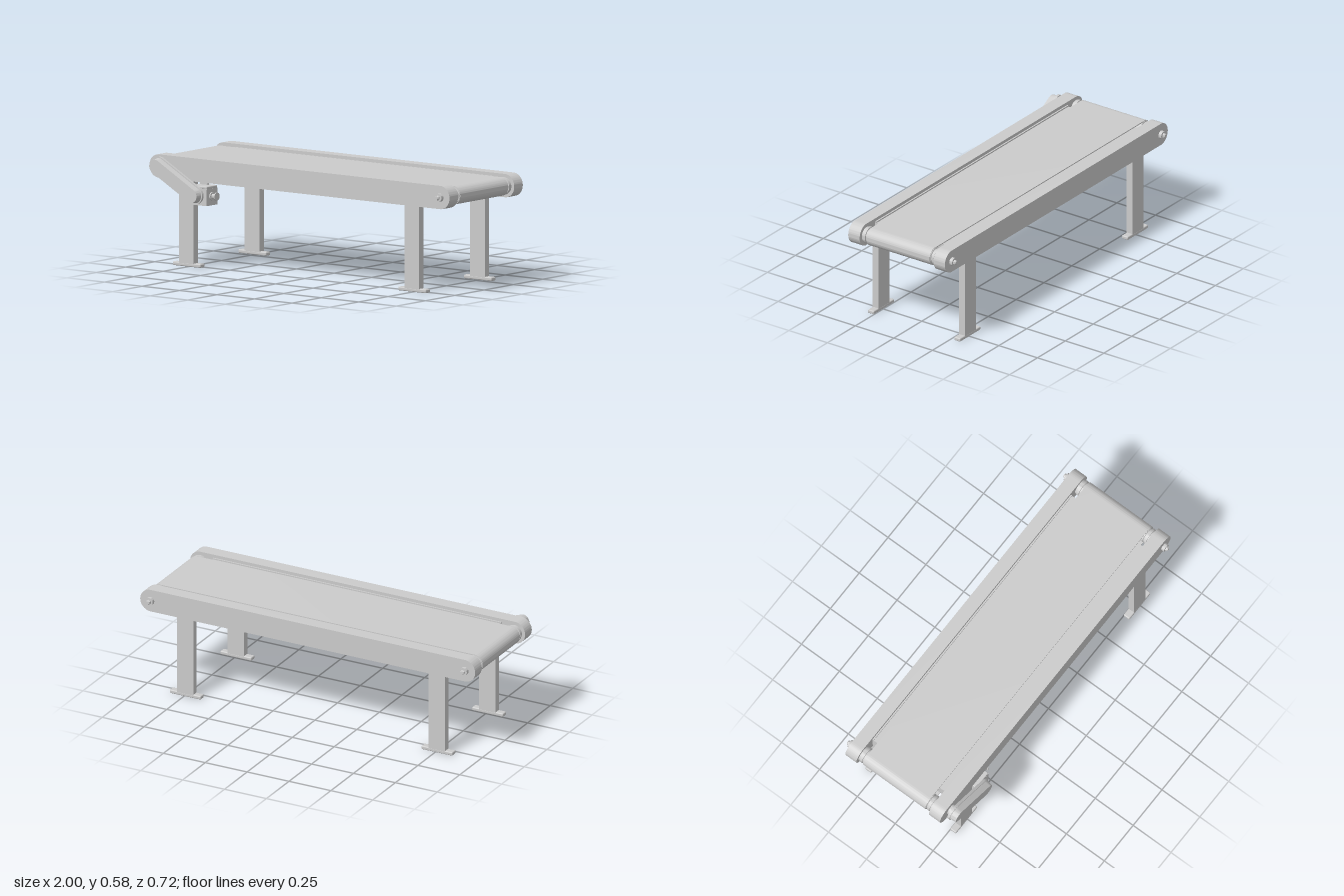
import * as THREE from 'three';
import { RoundedBoxGeometry } from 'three/addons/geometries/RoundedBoxGeometry.js';
import { toCreasedNormals } from 'three/addons/utils/BufferGeometryUtils.js';

const AXLE_Y = 0.519, AXLE_X = 0.938, MID_Z = -0.0175;

export function createModel() {
  const model = new THREE.Group();
  model.name = 'beltConveyor';
  const material = new THREE.MeshStandardMaterial({ color: 0xcccccc });

  function add(name, geometry, x = 0, y = 0, z = 0, parent = model) {
    const mesh = new THREE.Mesh(geometry, material);
    mesh.name = name;
    mesh.position.set(x, y, z);
    parent.add(mesh);
    return mesh;
  }

  // Outline of a bar with round ends, centred on the origin
  function slot(half, r, Type = THREE.Shape) {
    const s = new Type();
    s.moveTo(-half, -r);
    s.lineTo(half, -r);
    s.absarc(half, 0, r, -Math.PI / 2, Math.PI / 2, false);
    s.lineTo(-half, r);
    s.absarc(-half, 0, r, Math.PI / 2, Math.PI * 1.5, false);
    return s;
  }

  function extrude(shape, depth) {
    const g = new THREE.ExtrudeGeometry(shape, { depth, bevelEnabled: false, curveSegments: 32 });
    return toCreasedNormals(g, 0.6);
  }

  // Turned part along +z, profile as [radius, z] pairs
  function turned(profile, sides = 40) {
    const points = profile.map(([r, z]) => new THREE.Vector2(r, z));
    const g = new THREE.LatheGeometry(points, sides);
    g.rotateX(Math.PI / 2);
    // Profile runs towards +y; after the turn it runs towards +z
    return toCreasedNormals(g, 0.5);
  }

  // Side rails
  add('frontRail', extrude(slot(AXLE_X, 0.062), 0.074), 0, AXLE_Y, 0.222);
  add('backRail', extrude(slot(AXLE_X, 0.062), 0.073), 0, AXLE_Y, -0.33);

  // Endless belt and the slider bed it runs over
  const beltShape = slot(AXLE_X, 0.0495);
  beltShape.holes.push(slot(AXLE_X, 0.044, THREE.Path));
  add('belt', extrude(beltShape, 0.41), 0, AXLE_Y, MID_Z - 0.205);
  add('sliderBed', new THREE.BoxGeometry(1.72, 0.07, 0.479), 0, AXLE_Y + 0.003, MID_Z);
  for (const s of [-1, 1]) {
    add('edgeStrip', new THREE.BoxGeometry(1.72, 0.008, 0.008), 0, 0.56, MID_Z + s * 0.235);
  }

  // Rollers with grooved end collars
  const half = [
    [0.0435, 0.188], [0.0465, 0.188], [0.0465, 0.208], [0.041, 0.209],
    [0.041, 0.215], [0.0465, 0.216], [0.0465, 0.229], [0.043, 0.23], [0.043, 0.242],
  ];
  const rollerProfile = [
    [0, -0.242], ...half.map(([r, z]) => [r, -z]).reverse(), ...half, [0, 0.242],
  ];
  for (const s of [-1, 1]) {
    add('roller', turned(rollerProfile), s * AXLE_X, AXLE_Y, MID_Z);
  }

  // Axle ends: round washer, hex nut and tapered tip
  function axleEnd(x, z, dir) {
    const end = new THREE.Group();
    end.name = 'axleEnd';
    end.position.set(x, AXLE_Y, z);
    if (dir < 0) end.rotation.y = Math.PI;
    add('washer', turned([[0.022, -0.003], [0.022, 0.018], [0, 0.018]], 32), 0, 0, 0, end);
    add('nut', turned([[0.013, 0.017], [0.013, 0.025], [0.009, 0.031], [0, 0.031]], 6), 0, 0, 0, end);
    model.add(end);
  }
  axleEnd(AXLE_X, 0.296, 1);
  axleEnd(AXLE_X, -0.33, -1);
  axleEnd(-AXLE_X, -0.33, -1);

  // Legs with foot plates
  for (const x of [-0.76, 0.743]) {
    for (const z of [0.269, -0.291]) {
      add('leg', new THREE.BoxGeometry(0.098, 0.46, 0.038), x, 0.24, z);
      add('foot', new RoundedBoxGeometry(0.186, 0.02, 0.039, 3, 0.006), x, 0.01, z);
    }
  }

  // Drive cover: flange plate and slightly tapered housing, tilted down to the motor
  const cover = new THREE.Group();
  cover.name = 'driveCover';
  const dx = 0.241, dy = -0.135, reach = Math.hypot(dx, dy) / 2;
  cover.position.set(-0.7925, 0.458, 0.312);
  cover.rotation.z = Math.atan2(dy, dx);
  model.add(cover);
  add('coverFlange', extrude(slot(reach, 0.047), 0.015), 0, 0, 0, cover);
  const housing = new THREE.ExtrudeGeometry(slot(reach, 0.041), {
    depth: 0.035, bevelEnabled: false, curveSegments: 32,
  });
  const p = housing.attributes.position;
  for (let i = 0; i < p.count; i++) {
    const x = p.getX(i), cx = THREE.MathUtils.clamp(x, -reach, reach);
    const k = 1 - 0.1 * p.getZ(i) / 0.035;
    p.setXY(i, cx + (x - cx) * k, p.getY(i) * k);
  }
  housing.computeVertexNormals();
  add('coverHousing', toCreasedNormals(housing, 0.6), 0, 0, 0.015, cover);

  // Drive shaft boss between rail and cover
  add('driveBoss', turned([[0.03, 0], [0.03, 0.024]], 32), -0.908, AXLE_Y, 0.29);

  // Motor gearbox with lid, hanger and output knob
  add('gearbox', new THREE.BoxGeometry(0.105, 0.09, 0.092), -0.6575, 0.382, 0.268);
  add('gearboxLid', new RoundedBoxGeometry(0.105, 0.014, 0.092, 2, 0.004), -0.6575, 0.433, 0.268);
  add('gearboxHanger', new THREE.BoxGeometry(0.05, 0.03, 0.014), -0.67, 0.45, 0.248);
  const knob = add('motorShaft', turned([
    [0.022, 0], [0.022, 0.008], [0.013, 0.009], [0.013, 0.029],
    [0.022, 0.03], [0.022, 0.037], [0, 0.037],
  ], 32), -0.606, 0.386, 0.27);
  knob.rotation.y = Math.PI / 2;

  return model;
}
